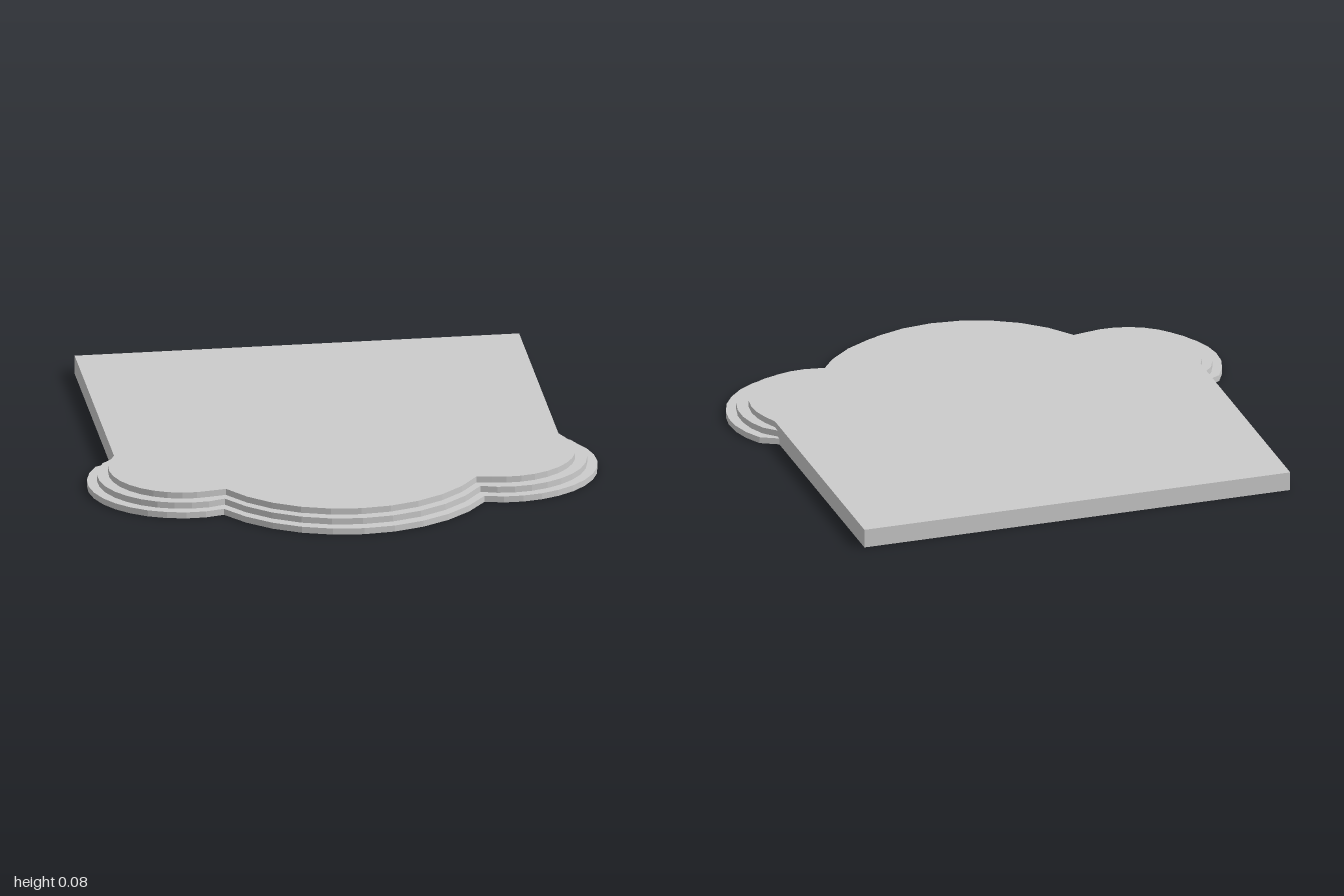
import * as THREE from 'three';

const SIDE = 0.873, BACK = -0.945, LOBE_X = 0.625;
const LOBE_SEGMENTS = 13, FRONT_SEGMENTS = 10;

// One entry per step: lobe ellipse, where it meets the side, the notch and the front
const STEPS = [
  { rx: 0.375, rz: 0.355, cz: 0.325, startZ: 0.1, notch: [0.512, 0.66], front: 0.945 },
  { rx: 0.335, rz: 0.32, cz: 0.32, startZ: 0.12, notch: [0.502, 0.615], front: 0.9 },
  { rx: 0.29, rz: 0.285, cz: 0.31, startZ: 0.155, notch: [0.492, 0.575], front: 0.857 },
];
const STEP_HEIGHT = 0.025;

// Outline of a step as [x, z] points, from the back left corner round the front
function outline({ rx, rz, cz, startZ, notch, front }) {
  const angle = (x, z) => Math.atan2((z - cz) / rz, (x - LOBE_X) / rx);
  const a0 = angle(SIDE, startZ), a1 = angle(...notch);
  const half = [[SIDE, BACK], [SIDE, startZ]];
  for (let i = 1; i < LOBE_SEGMENTS; i++) {
    const a = a0 + (a1 - a0) * i / LOBE_SEGMENTS;
    half.push([LOBE_X + rx * Math.cos(a), cz + rz * Math.sin(a)]);
  }
  half.push(notch);

  // Shallow front arc through both notches and the foremost point
  const rise = front - notch[1];
  const r = (notch[0] ** 2 + rise ** 2) / (2 * rise);
  const sweep = Math.asin(notch[0] / r);
  const arc = [];
  for (let i = 1; i < FRONT_SEGMENTS; i++) {
    const a = sweep * (1 - 2 * i / FRONT_SEGMENTS);
    arc.push([r * Math.sin(a), front - r + r * Math.cos(a)]);
  }
  return [...half, ...arc, ...half.map(([x, z]) => [-x, z]).reverse()];
}

// Closed band between two outlines at two heights
function band(low, y0, high, y1) {
  const positions = [];
  low.forEach((p, i) => {
    const j = (i + 1) % low.length;
    const a = [p[0], y0, p[1]], b = [low[j][0], y0, low[j][1]];
    const c = [high[i][0], y1, high[i][1]], d = [high[j][0], y1, high[j][1]];
    positions.push(...a, ...c, ...b, ...b, ...c, ...d);
  });
  const geometry = new THREE.BufferGeometry();
  geometry.setAttribute('position', new THREE.Float32BufferAttribute(positions, 3));
  geometry.computeVertexNormals();
  return geometry;
}

export function createModel() {
  const group = new THREE.Group();
  group.name = 'steppedPlatform';
  const material = new THREE.MeshStandardMaterial({
    color: 0xcccccc, flatShading: true, side: THREE.DoubleSide,
  });
  const add = (name, geometry) => {
    const mesh = new THREE.Mesh(geometry, material);
    mesh.name = name;
    group.add(mesh);
    return mesh;
  };

  // Risers and treads of the hollow shell, open underneath
  const rings = STEPS.map(outline);
  rings.forEach((ring, i) => {
    const top = (i + 1) * STEP_HEIGHT;
    add(`riser${i + 1}`, band(ring, i * STEP_HEIGHT, ring, top));
    if (rings[i + 1]) add(`tread${i + 1}`, band(ring, top, rings[i + 1], top));
  });

  // Floor on top
  const shape = new THREE.Shape(rings[2].map(([x, z]) => new THREE.Vector2(x, -z)));
  const floor = add('floor', new THREE.ShapeGeometry(shape).rotateX(-Math.PI / 2));
  floor.position.y = STEPS.length * STEP_HEIGHT;
  return group;
}
